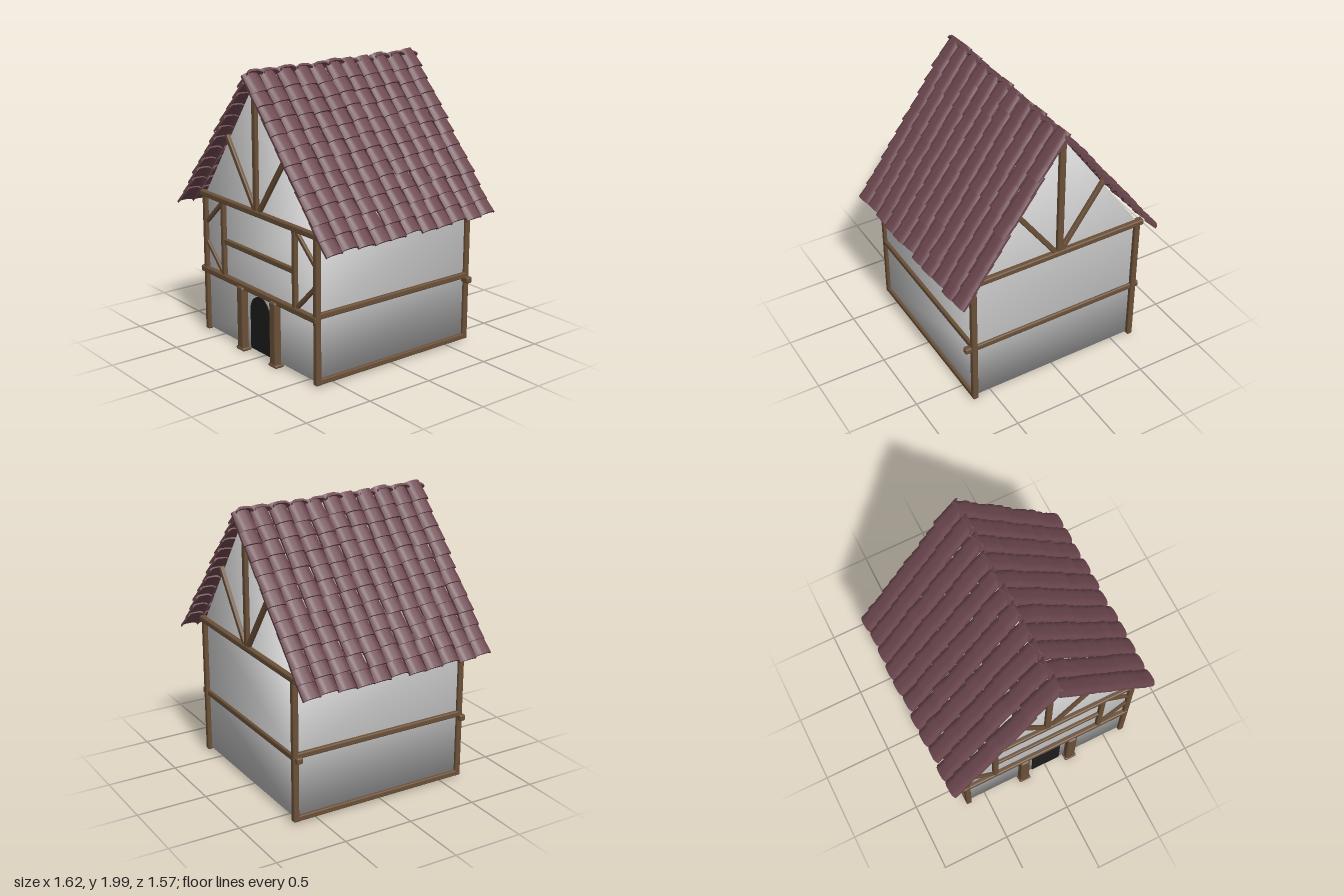
import * as THREE from 'three';
import { mergeGeometries, toCreasedNormals } from 'three/addons/utils/BufferGeometryUtils.js';
import { RoundedBoxGeometry } from 'three/addons/geometries/RoundedBoxGeometry.js';

const plaster = new THREE.MeshStandardMaterial({ color: 0xcccccc });
const timber = new THREE.MeshStandardMaterial({ color: 0x6a5038 });
const clay = new THREE.MeshStandardMaterial({ color: 0x6a464d });
const dark = new THREE.MeshStandardMaterial({ color: 0x1c1c1c });

const FRONT = 0.63, BACK = -0.65;

let seed = 7;
function jitter(amount) {
  seed = (seed * 16807) % 2147483647;
  return (seed / 2147483647 - 0.5) * 2 * amount;
}

function addMesh(parent, name, geometry, material) {
  const mesh = new THREE.Mesh(geometry, material);
  mesh.name = name;
  parent.add(mesh);
  return mesh;
}

// Rounded timber running between two points
function beam(parent, name, from, to, width = 0.04, depth = 0.045) {
  const a = new THREE.Vector3(...from), b = new THREE.Vector3(...to);
  const dir = b.clone().sub(a);
  const geometry = new RoundedBoxGeometry(width, dir.length(), depth, 2, Math.min(width, depth) * 0.25);
  const mesh = addMesh(parent, name, geometry, timber);
  mesh.position.copy(a).add(b).multiplyScalar(0.5);
  mesh.quaternion.setFromUnitVectors(new THREE.Vector3(0, 1, 0), dir.normalize());
}

// Plaster walls and gables: one house-shaped section, with shared corners for soft shading
function wallGeometry() {
  const w = 0.635;
  const section = [[-w, 0.03], [w, 0.03], [w, 0.47], [w, 1.03], [0, 1.93], [-w, 1.03], [-w, 0.47]];
  const n = section.length;
  const positions = [];
  for (const z of [FRONT, BACK]) for (const [x, y] of section) positions.push(x, y, z);
  const index = [];
  for (const [a, b, c] of [[0, 1, 2], [0, 2, 6], [6, 2, 3], [6, 3, 5], [5, 3, 4]]) {
    index.push(a, b, c, n + a, n + c, n + b);
  }
  for (let i = 0; i < n; i++) {
    const j = (i + 1) % n;
    index.push(i, n + i, n + j, i, n + j, j);
  }
  const geometry = new THREE.BufferGeometry();
  geometry.setAttribute('position', new THREE.Float32BufferAttribute(positions, 3));
  geometry.setIndex(index);
  geometry.computeVertexNormals();
  return geometry;
}

// Curved tile: x across, y outward, z down the slope, slightly narrower at its upper end
function tileGeometry(length) {
  const half = 0.066, rise = 0.02, thick = 0.017, steps = 8;
  const arc = (y0) => Array.from({ length: steps + 1 }, (_, i) => {
    const t = i / steps * 2 - 1;
    return new THREE.Vector2(t * half, y0 + rise * (1 - t ** 4));
  });
  const shape = new THREE.Shape([...arc(-thick), ...arc(0).reverse()]);
  const geometry = new THREE.ExtrudeGeometry(shape, { depth: length, steps: 1, bevelEnabled: false });
  const p = geometry.attributes.position;
  for (let i = 0; i < p.count; i++) p.setX(i, p.getX(i) * (0.9 + 0.1 * p.getZ(i) / length));
  return toCreasedNormals(geometry, 0.7);
}

// One roof slope on the +x side, in slanting columns of overlapping tiles
function slopeGeometry() {
  const apexY = 1.945, columns = 11, rows = 12, pitch = 0.105;
  const down = new THREE.Vector3(0.765, -1, 0).normalize();
  const out = new THREE.Vector3(-down.y, down.x, 0);
  const basis = new THREE.Matrix4().makeBasis(out.clone().cross(down), out, down);
  const tile = tileGeometry(0.15);
  const tiles = [];
  for (let c = 0; c < columns; c++) {
    const slide = jitter(0.012);
    for (let r = 0; r < rows; r++) {
      const s = -0.03 + r * pitch + slide + jitter(0.005);
      const z = -0.655 + c * 0.1335 - 0.055 * r / (rows - 1) + jitter(0.005);
      const place = new THREE.Matrix4().makeTranslation(down.x * s, apexY + down.y * s, z);
      const tilt = new THREE.Matrix4().makeRotationFromEuler(
        new THREE.Euler(-0.11 + jitter(0.02), 0.04 + jitter(0.025), jitter(0.04)));
      tiles.push(tile.clone().applyMatrix4(place.multiply(basis).multiply(tilt)));
    }
  }
  return mergeGeometries(tiles);
}

export function createModel() {
  seed = 7;
  const house = new THREE.Group();
  house.name = 'timberHouse';
  addMesh(house, 'walls', wallGeometry(), plaster);

  // Roof: the second slope is the first turned half round
  const roof = new THREE.Group();
  roof.name = 'roof';
  house.add(roof);
  const slope = slopeGeometry();
  addMesh(roof, 'leftRoofTiles', slope, clay);
  addMesh(roof, 'rightRoofTiles', slope, clay).rotation.y = Math.PI;

  const frame = new THREE.Group();
  frame.name = 'timberFrame';
  house.add(frame);

  // Corner posts, tie beams and gable timbers at both ends
  for (const z of [FRONT + 0.005, BACK - 0.008]) {
    for (const side of [-1, 1]) {
      beam(frame, 'cornerPost', [side * 0.635, 0.015, z], [side * 0.635, 1.02, z], 0.042, 0.042);
      beam(frame, 'gableBrace', [side * 0.025 - 0.005, 1.04, z], [side * 0.345, 1.49, z], 0.036, 0.036);
    }
    beam(frame, 'tieBeam', [-0.68, 1.02, z], [0.68, 1.02, z], 0.042, 0.05);
    beam(frame, 'kingPost', [-0.015, 1.03, z], [-0.015, 1.93, z], 0.045, 0.04);
  }
  beam(frame, 'frontMidBeam', [-0.685, 0.465, FRONT + 0.01], [0.65, 0.465, FRONT + 0.01], 0.045, 0.045);
  beam(frame, 'backMidBeam', [-0.685, 0.465, BACK + 0.005], [0.7, 0.465, BACK + 0.005], 0.045, 0.045);

  // Front panel timbers
  const z = FRONT + 0.005;
  for (const side of [-1, 1]) {
    const x = side * 0.41;
    beam(frame, 'panelPost', [x, 0.47, z], [x, 1.01, z]);
    beam(frame, 'upperBrace', [side * 0.425, 1.0, z], [side * 0.625, 0.82, z], 0.03, 0.03);
    beam(frame, 'lowerBrace', [side * 0.43, 0.49, z], [side * 0.625, 0.68, z], 0.03, 0.03);
  }
  beam(frame, 'panelRail', [-0.4, 0.73, z], [0.4, 0.73, z], 0.04, 0.035);

  // Side beams
  for (const side of [-1, 1]) {
    const x = side * 0.638;
    beam(frame, 'sideMidBeam', [x, 0.49, 0.63], [x, 0.49, -0.66], 0.04, 0.042);
    beam(frame, 'sideSill', [x, 0.037, 0.63], [x, 0.037, -0.66], 0.035, 0.04);
  }

  // Door posts with feet
  for (const x of [-0.185, 0.195]) {
    beam(frame, 'doorPost', [x, 0.01, 0.645], [x, 0.465, 0.645], 0.072, 0.065);
    beam(frame, 'doorPostFoot', [x, 0, 0.645], [x, 0.025, 0.645], 0.092, 0.075);
  }

  // Arched doorway
  const arch = new THREE.Shape();
  arch.moveTo(-0.112, 0.035);
  arch.lineTo(0.112, 0.035);
  arch.lineTo(0.112, 0.318);
  arch.absarc(0, 0.318, 0.112, 0, Math.PI, false);
  arch.closePath();
  const door = addMesh(house, 'door',
    new THREE.ExtrudeGeometry(arch, { depth: 0.015, bevelEnabled: false, curveSegments: 16 }), dark);
  door.position.set(0.003, 0, FRONT - 0.008);

  return house;
}
